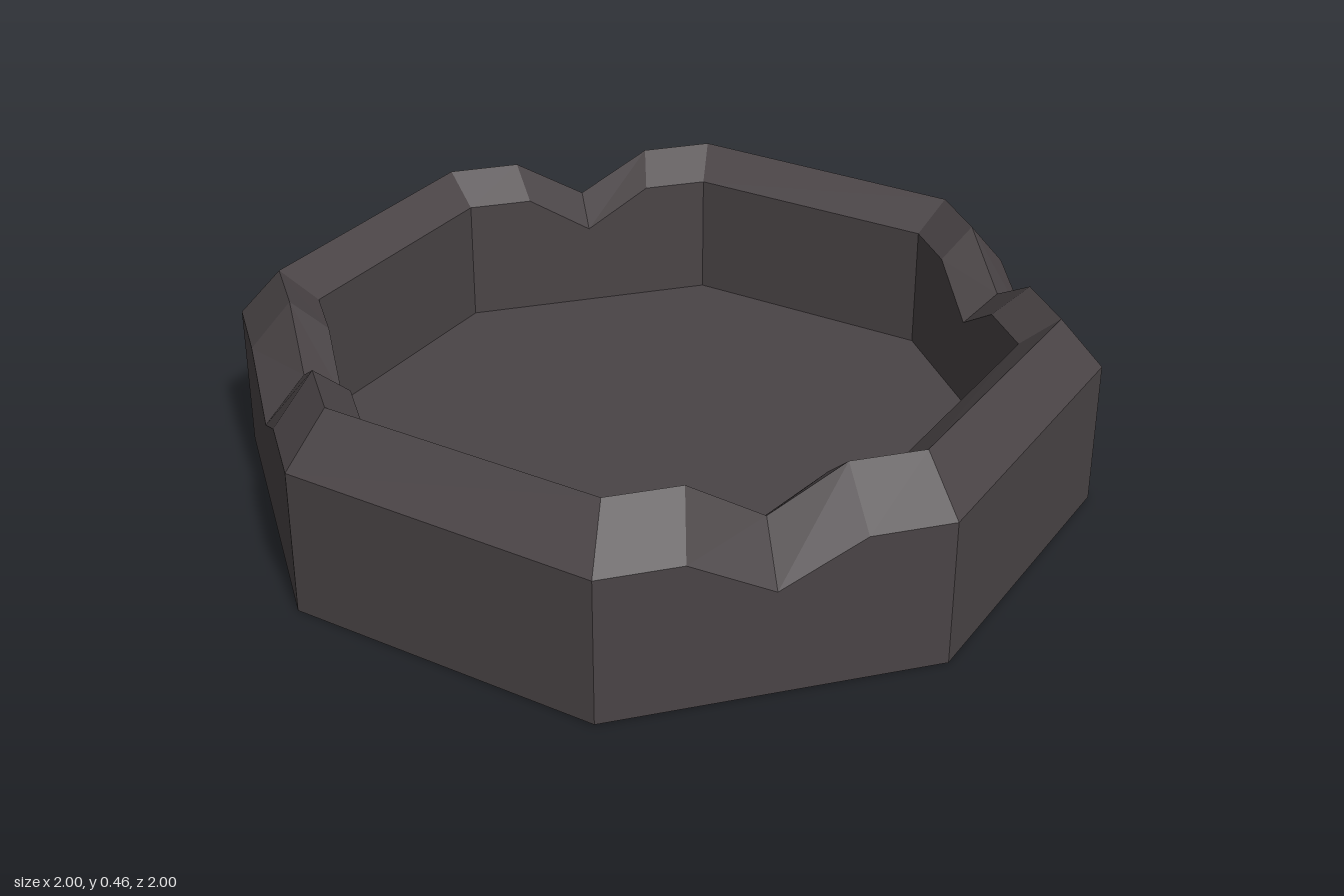
import * as THREE from 'three';

// Octagonal ring; every second side carries a V notch at its middle.
// rx, rz: reach along the axes, cx, cz: position of the diagonal corners.
function ring({ rx, rz, cx, cz, y, dip = 0 }) {
  const corners = [];
  for (let k = 0; k < 8; k++) {
    const a = (k * Math.PI) / 4;
    const sx = Math.round(Math.sin(a) * 1.2), sz = Math.round(Math.cos(a) * 1.2);
    corners.push(k % 2 ? new THREE.Vector3(sx * cx, y, sz * cz)
                       : new THREE.Vector3(sx * rx, y, sz * rz));
  }
  const points = [];
  corners.forEach((c, k) => {
    points.push(c);
    if (k % 2) return;
    const next = corners[(k + 1) % 8];
    for (const t of [0.25, 0.5, 0.75]) {
      const p = c.clone().lerp(next, t);
      if (t === 0.5) p.y -= dip;
      points.push(p);
    }
  });
  return points;
}

// Joins successive rings with quads, skipping collapsed triangles.
function loft(rings) {
  const pos = [];
  const tri = (a, b, c) => {
    if (a.equals(b) || b.equals(c) || c.equals(a)) return;
    for (const p of [a, b, c]) pos.push(p.x, p.y, p.z);
  };
  for (let r = 0; r < rings.length - 1; r++) {
    const lo = rings[r], hi = rings[r + 1];
    for (let i = 0; i < lo.length; i++) {
      const j = (i + 1) % lo.length;
      tri(lo[i], lo[j], hi[j]);
      tri(lo[i], hi[j], hi[i]);
    }
  }
  const geo = new THREE.BufferGeometry();
  geo.setAttribute('position', new THREE.Float32BufferAttribute(pos, 3));
  geo.computeVertexNormals();
  return geo;
}

export function createModel() {
  const group = new THREE.Group();
  group.name = 'ashtray';
  const material = new THREE.MeshStandardMaterial({ color: 0x4a4446, flatShading: true });

  const outer = { rx: 1, rz: 1, cx: 0.695, cz: 0.695 };
  const ridge = { rx: 0.9, rz: 0.88, cx: 0.625, cz: 0.61 };
  const inner = { rx: 0.81, rz: 0.79, cx: 0.565, cz: 0.55 };
  const centre = { rx: 0, rz: 0, cx: 0, cz: 0 };

  const base = ring({ ...outer, y: 0 });
  const shoulder = ring({ ...outer, y: 0.345, dip: 0.097 });
  const crest = ring({ ...ridge, y: 0.46, dip: 0.1 });
  const lip = ring({ ...inner, y: 0.39, dip: 0.097 });
  const floorEdge = ring({ ...inner, y: 0.09 });

  const parts = {
    underside: [ring({ ...centre, y: 0 }), base],
    outerWall: [base, shoulder],
    notchedRim: [shoulder, crest, lip],
    innerWall: [lip, floorEdge],
    floor: [floorEdge, ring({ ...centre, y: 0.09 })],
  };
  for (const [name, rings] of Object.entries(parts)) {
    const mesh = new THREE.Mesh(loft(rings), material);
    mesh.name = name;
    group.add(mesh);
  }
  return group;
}
